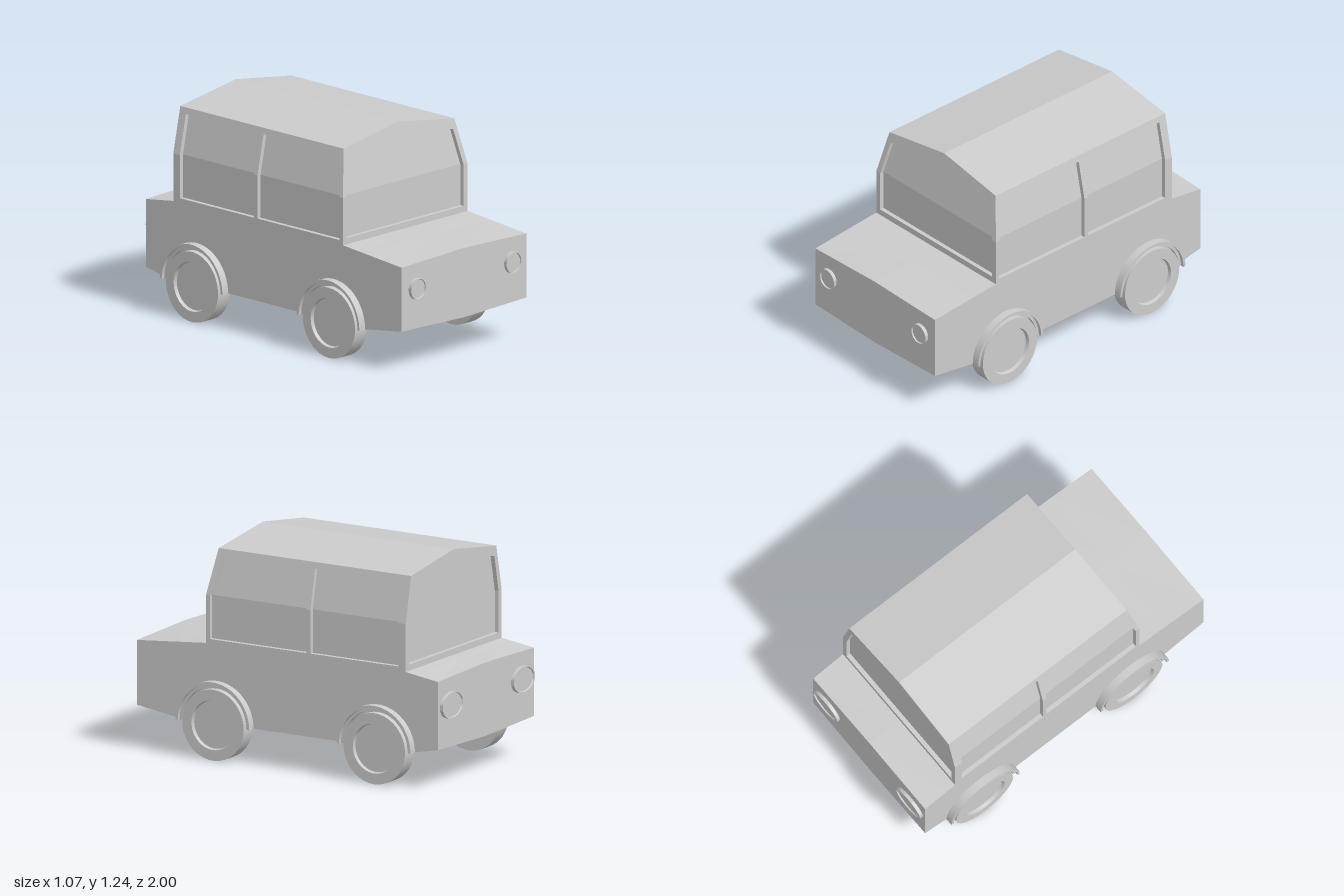
import * as THREE from 'three';
import { mergeGeometries, toCreasedNormals } from 'three/addons/utils/BufferGeometryUtils.js';

const material = new THREE.MeshStandardMaterial({ color: 0xcccccc });
const T = 0.025;      // frame thickness, also the window recess
const BELT = 0.92;    // height where the cabin walls start to lean in
const BACK = -0.77;

// outer cabin walls as a function of height
const sideX = (y) => 0.49 - Math.max(0, y - BELT) * (0.055 / 0.26);
const frontZ = (y) => 0.53 - Math.max(0, y - BELT) * (0.06 / 0.325);

// extrude outlines by depth, then place every vertex (u, y, w) by a rule
function shaped(outlines, depth, place) {
  const parts = outlines.map((pts) => {
    const shape = new THREE.Shape(pts.map(([u, y]) => new THREE.Vector2(u, y)));
    const geo = new THREE.ExtrudeGeometry(shape, { depth, bevelEnabled: false });
    const p = geo.attributes.position;
    for (let i = 0; i < p.count; i++) p.setXYZ(i, ...place(p.getX(i), p.getY(i), p.getZ(i)));
    geo.computeVertexNormals();
    return geo;
  });
  return mergeGeometries(parts);
}

function lathe(profile, segments = 40) {
  const pts = profile.map(([r, y]) => new THREE.Vector2(r, y));
  return toCreasedNormals(new THREE.LatheGeometry(pts, segments), 0.6);
}

// half ring standing out from the body side
function archRing(inner, outer, depth) {
  const s = new THREE.Shape();
  s.absarc(0, 0, outer, 0, Math.PI, false);
  s.absarc(0, 0, inner, Math.PI, 0, true);
  const geo = new THREE.ExtrudeGeometry(s, { depth, bevelEnabled: false, curveSegments: 20 });
  return toCreasedNormals(geo, 0.6);
}

// lower body: a box whose rings follow the hood, the tail and the upswept underside
function bodyGeometry() {
  // z, top edge, top centre, bottom edge, bottom centre
  const rings = [
    [-0.98, 0.62, 0.635, 0.235, 0.22],
    [-0.83, 0.641, 0.646, 0.205, 0.205],
    [BACK, 0.65, 0.65, 0.205, 0.205],
    [0.53, 0.65, 0.65, 0.205, 0.205],
    [0.70, 0.635, 0.6405, 0.205, 0.205],
    [0.98, 0.61, 0.625, 0.245, 0.23],
  ];
  const geo = new THREE.BoxGeometry(0.98, 1, 5, 2, 1, 5).toNonIndexed();
  const p = geo.attributes.position;
  for (let i = 0; i < p.count; i++) {
    const ring = rings[Math.round(p.getZ(i) + 2.5)];
    const centre = Math.abs(p.getX(i)) < 0.1 ? 1 : 0;
    p.setY(i, ring[(p.getY(i) > 0 ? 1 : 3) + centre]);
    p.setZ(i, ring[0]);
  }
  geo.computeVertexNormals();
  return geo;
}

export function createModel() {
  const car = new THREE.Group();
  const add = (name, geo, x = 0, y = 0, z = 0, parent = car) => {
    const mesh = new THREE.Mesh(geo, material);
    mesh.name = name;
    mesh.position.set(x, y, z);
    parent.add(mesh);
    return mesh;
  };

  add('body', bodyGeometry());

  // recessed glass filling the cabin
  add('windowGlass', shaped([
    [[-0.465, 0.64], [0.465, 0.64], [0.465, BELT], [-0.465, BELT]],
    [[-0.465, BELT], [0.465, BELT], [0.41, 1.18], [0, 1.23], [-0.41, 1.18]],
  ], 1, (u, y, w) => [u, y, THREE.MathUtils.lerp(BACK + T, frontZ(y) - T, w)]));

  // gabled roof
  add('roof', shaped([[[-0.435, 1.18], [0.435, 1.18], [0, 1.245]]], 1,
    (u, y, w) => [u, y, THREE.MathUtils.lerp(BACK + T, frontZ(y) - T, w)]));

  // windscreen and rear window frames, split at the belt line
  const endFrame = [
    [[-0.49, 0.65], [0.49, 0.65], [0.49, BELT], [0.458, BELT], [0.458, 0.685],
      [-0.458, 0.685], [-0.458, BELT], [-0.49, BELT]],
    [[-0.49, BELT], [-0.458, BELT], [-0.415, 1.125], [0, 1.21], [0.415, 1.125],
      [0.458, BELT], [0.49, BELT], [0.435, 1.18], [0, 1.245], [-0.435, 1.18]],
  ];
  add('windscreenFrame', shaped(endFrame, T, (u, y, w) => [u, y, frontZ(y) - T + w]));
  add('rearWindowFrame', shaped(endFrame, T, (u, y, w) => [-u, y, BACK + T - w]));

  // side frames with a central pillar, as (z, y)
  const sideFrame = [
    [[BACK, 0.65], [0.53, 0.65], [0.53, BELT], [0.505, BELT], [0.505, 0.675],
      [-0.125, 0.675], [-0.125, BELT], [-0.15, BELT], [-0.15, 0.675],
      [-0.72, 0.675], [-0.72, BELT], [BACK, BELT]],
    [[BACK, BELT], [-0.72, BELT], [-0.72, 1.145], [-0.15, 1.145], [-0.15, BELT],
      [-0.125, BELT], [-0.125, 1.145], [0.44, 1.145], [0.505, BELT], [0.53, BELT],
      [frontZ(1.18), 1.18], [BACK, 1.18]],
  ];

  const wheelGeo = lathe([[0, 0], [0.2, 0], [0.2, 0.093], [0.14, 0.093], [0.135, 0.073], [0, 0.073]], 48);
  const headlightGeo = lathe([[0, 0], [0.06, 0], [0.06, 0.02], [0.055, 0.02], [0.053, 0.012], [0, 0.012]]);
  const outerArch = archRing(0.225, 0.24, 0.055);
  const innerArch = archRing(0.208, 0.226, 0.035);

  for (const [side, s] of [['left', 1], ['right', -1]]) {
    add(side + 'WindowFrame', shaped(
      sideFrame.map((pts) => pts.map(([z, y]) => [-s * z, y])), T,
      (u, y, w) => [s * (sideX(y) - T + w), y, -s * u]));

    // wheels with recessed hubs, and stepped arches over them
    for (const [end, z] of [['Front', 0.46], ['Rear', -0.59]]) {
      add(side + end + 'Wheel', wheelGeo, s * 0.435, 0.202, z).rotation.z = -s * Math.PI / 2;
      const arch = new THREE.Group();
      arch.name = side + end + 'WheelArch';
      arch.position.set(s * 0.48, 0.205, z);
      arch.rotation.y = s * Math.PI / 2;
      add('archLip', outerArch, 0, 0, 0, arch);
      add('archStep', innerArch, 0, 0, 0, arch);
      car.add(arch);
    }

    // round headlights, wider oval tail lights
    add(side + 'Headlight', headlightGeo, s * 0.375, 0.47, 0.98).rotation.x = Math.PI / 2;
    const tail = add(side + 'TailLight', headlightGeo, s * 0.363, 0.468, -0.98);
    tail.rotation.x = -Math.PI / 2;
    tail.scale.set(1.8, 1, 1.25);
  }
  return car;
}
